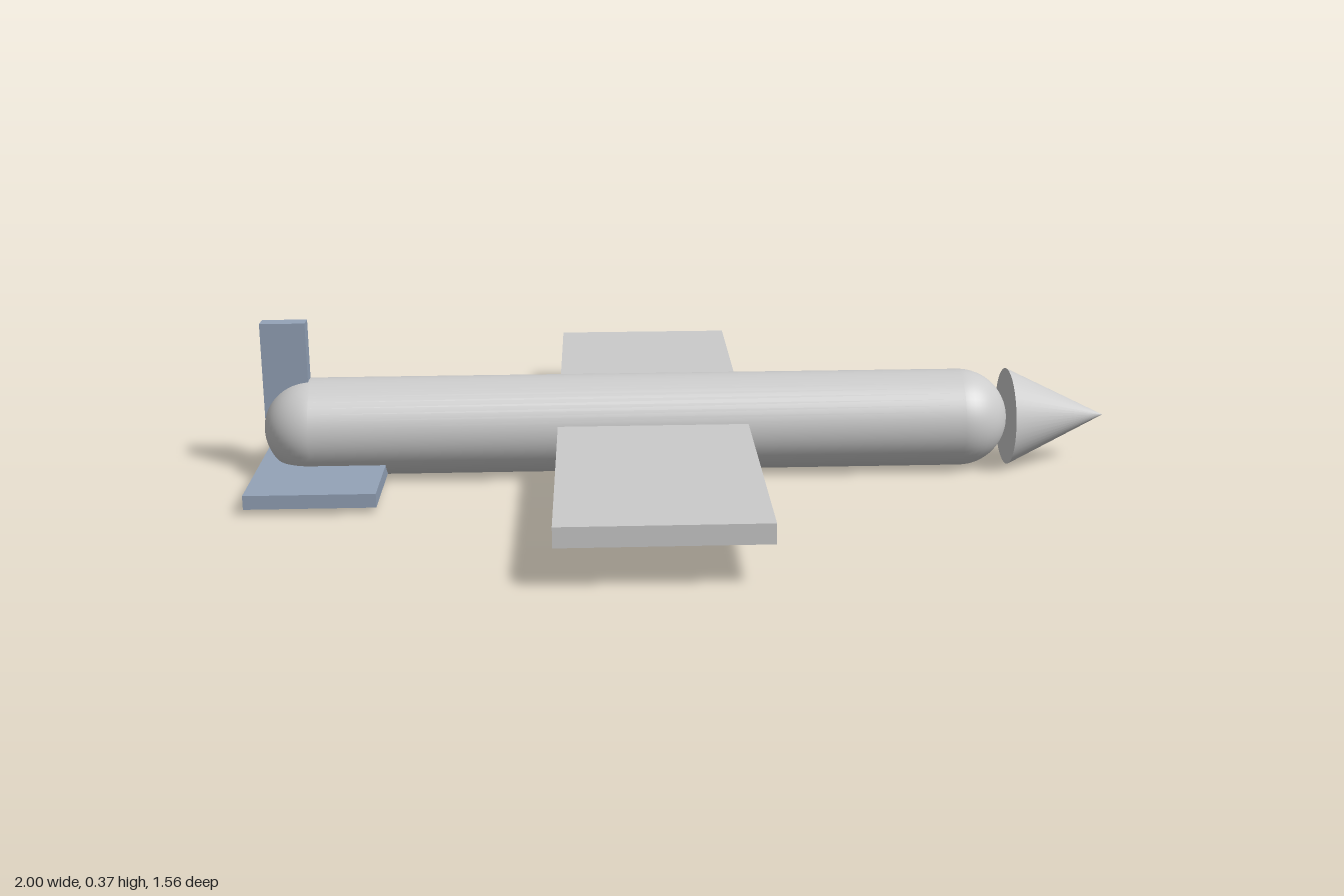
import * as THREE from 'three';

export function createModel() {
  const model = new THREE.Group();
  const white = new THREE.MeshStandardMaterial({ color: 0xf5f6f8 });
  const slate = new THREE.MeshStandardMaterial({ color: 0x94a3b8 });
  const axisY = 0.116;
  const radius = 0.115;

  function add(name, geometry, material, x, y, z = 0) {
    const mesh = new THREE.Mesh(geometry, material);
    mesh.name = name;
    mesh.position.set(x, y, z);
    model.add(mesh);
  }

  // Fuselage: round-ended tube lying along x
  const body = new THREE.CapsuleGeometry(radius, 1.757 - 2 * radius, 16, 48);
  add('fuselage', body.rotateZ(-Math.PI / 2), white, -0.116, axisY);

  // Nose cone, just clear of the fuselage end
  const nose = new THREE.ConeGeometry(radius, 0.235, 48);
  add('noseCone', nose.rotateZ(-Math.PI / 2), white, 0.882, axisY);

  // Main wing passes straight through the fuselage
  add('wing', new THREE.BoxGeometry(0.442, 0.044, 1.556), white, -0.085, 0.118);

  // Tail surfaces
  add('tailplane', new THREE.BoxGeometry(0.293, 0.032, 0.588), slate, -0.8535, 0.031);
  add('tailFin', new THREE.BoxGeometry(0.104, 0.27, 0.04), slate, -0.938, 0.235);

  return model;
}
